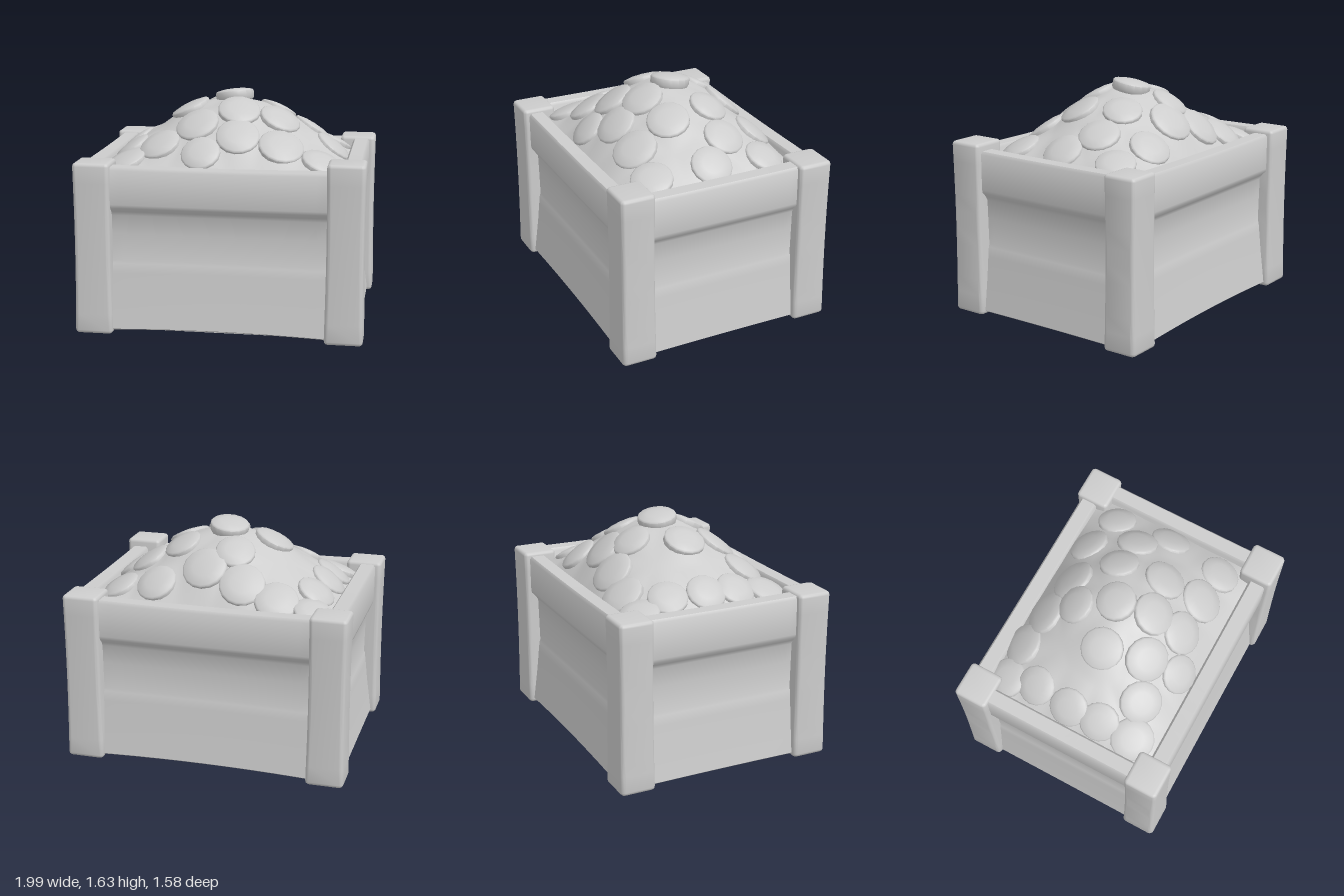
import * as THREE from 'three';
import { toCreasedNormals } from 'three/addons/utils/BufferGeometryUtils.js';

// Moves every vertex of a geometry by a rule
function deform(geo, rule) {
  const p = geo.attributes.position;
  const v = new THREE.Vector3();
  for (let i = 0; i < p.count; i++) {
    rule(v.fromBufferAttribute(p, i));
    p.setXYZ(i, v.x, v.y, v.z);
  }
  return geo;
}

// Rounded post with a slight waist, standing on y = 0
function postGeometry(height) {
  const b = 0.024, r = 0.008, w = 0.132 - b - r, d = 0.126 - b - r;
  const shape = new THREE.Shape();
  [[w, d], [-w, d], [-w, -d], [w, -d]].forEach(([x, y], i) => {
    shape.absarc(x, y, r, i * Math.PI / 2, (i + 1) * Math.PI / 2);
  });
  const geo = new THREE.ExtrudeGeometry(shape, {
    depth: height - 2 * b, steps: 10, curveSegments: 3,
    bevelSize: b, bevelThickness: b, bevelSegments: 3,
  });
  geo.translate(0, 0, b).rotateX(-Math.PI / 2);
  deform(geo, (v) => {
    const s = 1 - 0.06 * Math.sin(Math.PI * Math.min(1, v.y / height * 0.85));
    v.x *= s;
    v.z *= s;
  });
  return toCreasedNormals(geo, 0.75);
}

// Plank wall: stepped profile run along z, facing +x, its edges bowed
function wallGeometry(length, out, top, bowBottom, bowTop) {
  const profile = [
    [-0.12, 0.02], [0, 0.02], [0.01, 0.028], [-0.006, 0.14], [-0.026, 0.28],
    [-0.042, 0.42], [-0.05, 0.485], [-0.058, 0.505], [-0.055, 0.7], [-0.052, 0.83],
    [-0.036, 0.86], [-0.006, 0.89], [0, 0.915], [0.002, top - 0.02],
    [-0.012, top], [-0.105, top], [-0.12, top - 0.02],
  ].map(([x, y]) => new THREE.Vector2(out + x, y));
  const geo = new THREE.ExtrudeGeometry(new THREE.Shape(profile), {
    depth: length, steps: 10, bevelEnabled: false,
  });
  geo.translate(0, 0, -length / 2);
  deform(geo, (v) => {
    const bow = 1 - (2 * v.z / length) ** 2;
    v.y += bow * THREE.MathUtils.lerp(bowBottom, bowTop, v.y / top);
  });
  return toCreasedNormals(geo, 0.85);
}

// Heap surface, fuller towards the back
const heapHeight = (x, z) =>
  1.1 + 0.47 * (1 - Math.abs(x / 0.86) ** 1.6) * (1 - Math.abs(z / 0.66) ** (z < 0 ? 2 : 1.6));

// Disc with a softly domed face
function coinGeometry() {
  const profile = [[0.0001, -0.05], [0.128, -0.05], [0.138, -0.03], [0.138, 0.012], [0.128, 0.022],
    [0.07, 0.034], [0, 0.038]].map(([x, y]) => new THREE.Vector2(x, y));
  return toCreasedNormals(new THREE.LatheGeometry(profile, 16), 0.8);
}

export function createModel() {
  const model = new THREE.Group();
  const grey = new THREE.MeshStandardMaterial({ color: 0xcccccc });
  grey.name = 'light grey';

  const add = (name, geo, parent = model) => {
    const mesh = new THREE.Mesh(geo, grey);
    mesh.name = name;
    parent.add(mesh);
    return mesh;
  };

  // Corner posts, one a little taller
  for (const sx of [-1, 1]) {
    for (const sz of [-1, 1]) {
      const height = sx > 0 && sz > 0 ? 1.24 : 1.2;
      add('cornerPost', postGeometry(height)).position.set(sx * 0.863, 0, sz * 0.662);
    }
  }

  // Plank walls
  const side = wallGeometry(1.24, 0.948, 1.187, 0.004, -0.004);
  const front = wallGeometry(1.66, 0.744, 1.175, 0.022, -0.01);
  add('leftWall', side);
  add('rightWall', side).rotation.y = Math.PI;
  add('frontWall', front).rotation.y = -Math.PI / 2;
  add('backWall', front).rotation.y = Math.PI / 2;

  // Floor
  add('floor', new THREE.BoxGeometry(1.84, 0.04, 1.42)).position.y = 0.045;

  // Coin places on the heap: x, z, size
  const spots = [
    [-0.11, -0.3, 1], [0.3, -0.19, 1], [-0.31, 0.01, 1.06], [0.07, 0.2, 1.08],
    [-0.21, 0.3, 1.12], [0.35, 0.14, 1.08], [0.55, -0.18, 1.05], [0.69, -0.42, 1],
    [0.72, 0, 1.05], [0.4, -0.49, 1.05], [0.07, -0.43, 1.15], [-0.21, -0.49, 1.15],
    [-0.46, -0.53, 1.1], [-0.68, -0.3, 1], [-0.71, -0.03, 1], [-0.7, 0.2, 1],
    [-0.69, 0.45, 1.1], [-0.46, 0.39, 1.08], [-0.15, 0.52, 1], [0.09, 0.41, 1.1],
    [0.39, 0.41, 1.15], [0.67, 0.42, 1.05], [-0.71, -0.52, 1],
  ];

  // Heap under the coins, swelling softly around each of them
  const heap = new THREE.PlaneGeometry(1.7, 1.28, 60, 46).rotateX(-Math.PI / 2);
  deform(heap, (v) => {
    let swell = 0;
    for (const [x, z] of spots) {
      swell = Math.max(swell, Math.exp(-((v.x - x) ** 2 + (v.z - z) ** 2) / 0.025));
    }
    v.y = heapHeight(v.x, v.z) - 0.012 + 0.03 * swell;
  });
  heap.computeVertexNormals();
  add('heap', heap);

  // Coins lying on the slope
  const coins = new THREE.Group();
  coins.name = 'coins';
  model.add(coins);
  const coin = coinGeometry();
  const up = new THREE.Vector3(0, 1, 0);
  const e = 0.06;
  for (const [x, z, size] of spots) {
    const normal = new THREE.Vector3(
      (heapHeight(x - e, z) - heapHeight(x + e, z)) / (2 * e), 1,
      (heapHeight(x, z - e) - heapHeight(x, z + e)) / (2 * e)).normalize();
    const mesh = add('coin', coin, coins);
    mesh.position.set(x, heapHeight(x, z), z);
    mesh.quaternion.setFromUnitVectors(up, normal);
    mesh.scale.set(size, 1, size);
  }

  // Tilted coin on the peak
  const peak = add('topCoin', coin, coins);
  peak.position.set(0, 1.58, -0.05);
  peak.quaternion.setFromUnitVectors(up, new THREE.Vector3(-0.13, 1, -0.16).normalize());

  return model;
}
